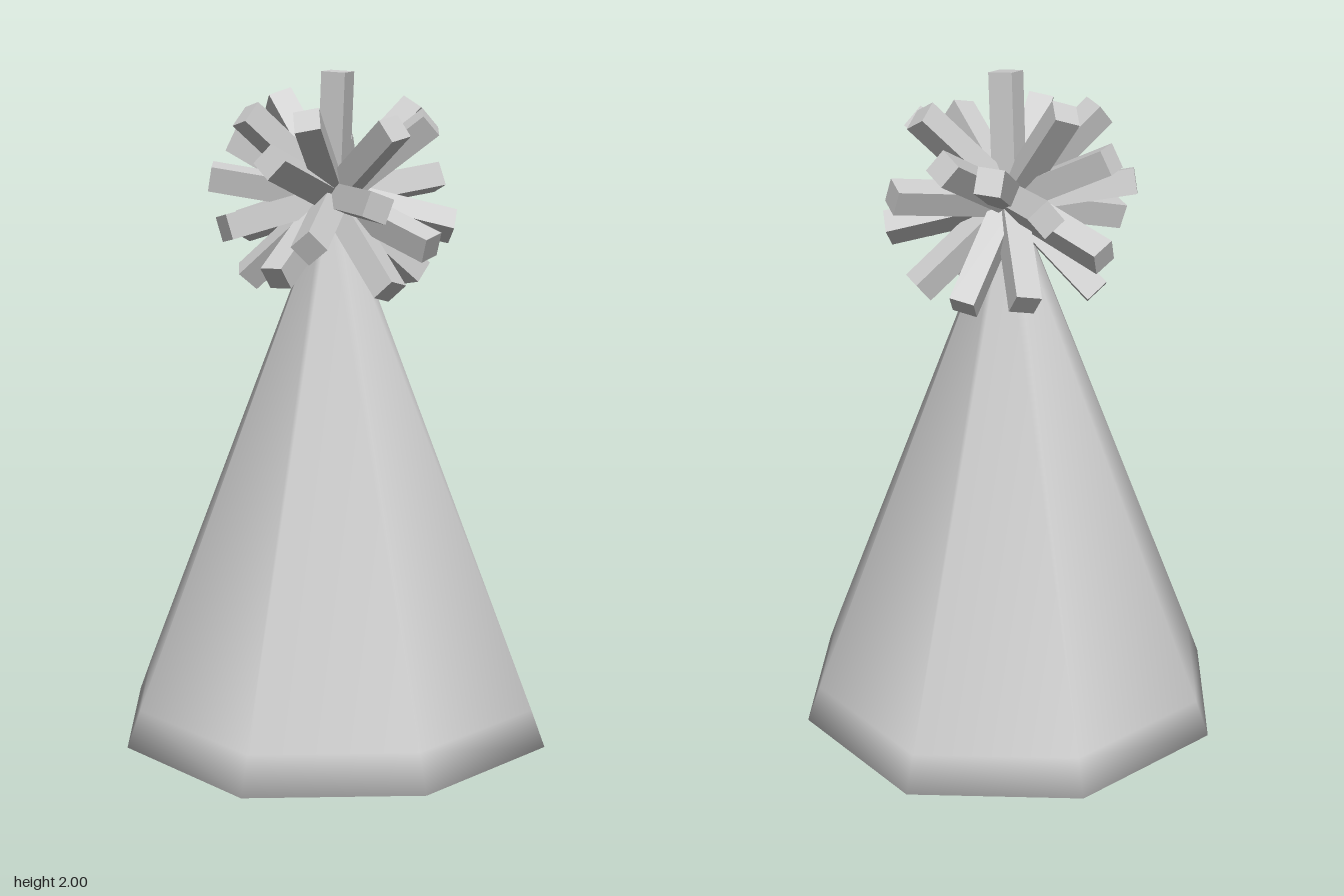
import * as THREE from 'three';

const grey = new THREE.MeshStandardMaterial({ color: 0xcccccc });
grey.name = 'plain grey';

// Eight-sided smooth cone with a tight loop near the rim and a closed base
function makeCone() {
  const profile = [[0, 0], [0.58, 0], [0.667, 0.01], [0.625, 0.12], [0.035, 1.6], [0, 1.66]]
    .map(([r, y]) => new THREE.Vector2(r, y));
  const geometry = new THREE.LatheGeometry(profile, 8);
  const p = geometry.attributes.position;
  // the diagonal corners sit slightly further out than those on the axes
  for (let i = 0; i < p.count; i++) {
    const x = p.getX(i), z = p.getZ(i);
    const k = Math.abs(x * z) > 1e-4 ? 1.022 : 1;
    p.setXYZ(i, x * k, p.getY(i), z * k);
  }
  const cone = new THREE.Mesh(geometry, grey);
  cone.name = 'hatCone';
  return cone;
}

// Pompom: square sticks radiating from one centre
function makePompom() {
  const pompom = new THREE.Group();
  pompom.name = 'pompom';
  pompom.position.y = 1.63;
  const tips = [
    // upper
    [0, 0.365, 0.035], [-0.09, 0.28, -0.2], [0.24, 0.24, 0.02], [0.22, 0.21, 0.17],
    [0.06, 0.2, 0.29], [-0.17, 0.22, 0.22], [-0.27, 0.24, 0], [0.16, 0.14, -0.3],
    [0.26, 0.16, -0.2], [-0.21, 0.16, -0.25], [-0.27, 0.11, 0.2],
    // middle
    [0.02, 0.04, -0.365], [0.36, 0.05, -0.04], [0.34, -0.09, 0.13], [-0.02, -0.01, 0.37],
    [-0.36, -0.08, 0.04], [-0.33, 0.06, -0.13], [-0.19, -0.12, 0.28], [0.18, -0.13, 0.28],
    // lower
    [0.07, -0.25, 0.24], [-0.24, -0.21, 0.16], [0.27, -0.23, 0], [0.2, -0.25, -0.18],
    [0.05, -0.22, -0.28], [-0.2, -0.24, -0.18], [-0.17, -0.1, -0.3],
  ];
  const length = 0.367;
  const geometry = new THREE.BoxGeometry(0.074, length, 0.074);
  geometry.translate(0, length / 2, 0);
  const up = new THREE.Vector3(0, 1, 0);
  tips.forEach((tip, i) => {
    const stick = new THREE.Mesh(geometry, grey);
    stick.name = 'pompomStick' + (i + 1);
    stick.quaternion.setFromUnitVectors(up, new THREE.Vector3(...tip).normalize());
    stick.rotateY(Math.PI / 4 + i * 0.7);
    pompom.add(stick);
  });
  return pompom;
}

export function createModel() {
  const model = new THREE.Group();
  model.name = 'partyHat';
  model.add(makeCone(), makePompom());
  return model;
}
